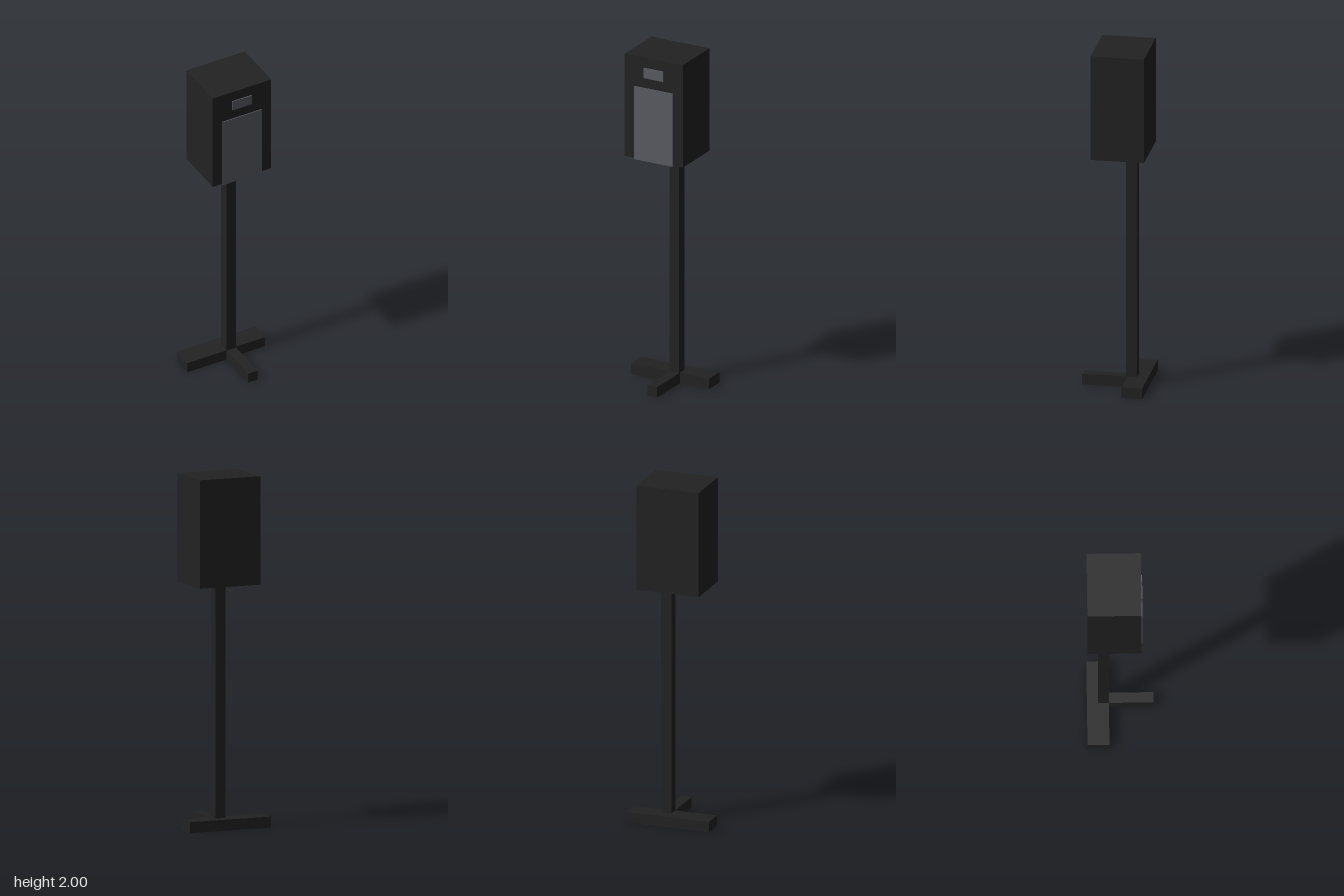
import * as THREE from 'three';

export function createModel() {
  const group = new THREE.Group();
  const dark = new THREE.MeshStandardMaterial({ color: 0x222222 });
  dark.name = 'charcoal';
  const grey = new THREE.MeshStandardMaterial({ color: 0x5a5c64 });
  grey.name = 'slate grey';

  // Box given by its extents on each axis
  function block(name, material, [x0, x1], [y0, y1], [z0, z1]) {
    const geometry = new THREE.BoxGeometry(x1 - x0, y1 - y0, z1 - z0);
    const mesh = new THREE.Mesh(geometry, material);
    mesh.position.set((x0 + x1) / 2, (y0 + y1) / 2, (z0 + z1) / 2);
    mesh.name = name;
    group.add(mesh);
  }

  // Foot: two rear arms and a forward leg
  block('rightFoot', dark, [-0.25, 0], [0, 0.0625], [-0.1875, -0.064]);
  block('leftFoot', dark, [0, 0.25], [0, 0.0625], [-0.1875, -0.07]);
  block('frontFoot', dark, [0, 0.0615], [0, 0.0625], [-0.07, 0.1875]);

  // Upright post, stopping just under the cabinet
  block('post', dark, [0, 0.0615], [0.0625, 1.378], [-0.125, -0.0635]);

  // Cabinet with a raised door and a small display
  block('cabinet', dark, [-0.1875, 0.1875], [1.384, 2], [-0.1875, 0.118]);
  block('door', grey, [-0.125, 0.125], [1.378, 1.817], [0.0635, 0.1235]);
  block('display', grey, [-0.0625, 0.0625], [1.877, 1.938], [0.0635, 0.1235]);

  return group;
}
